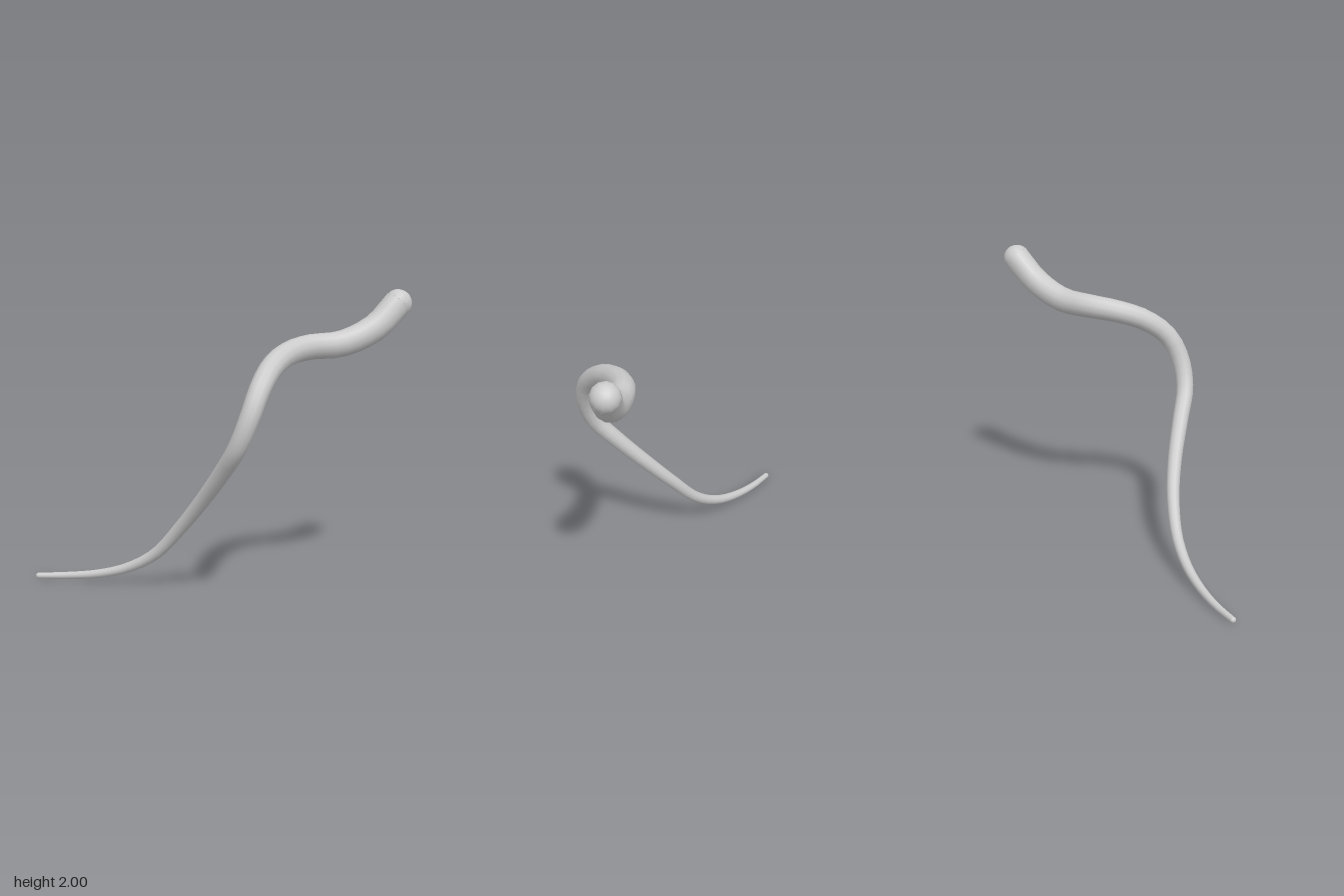
import * as THREE from 'three';

const SEGMENTS = 48, SIDES = 12;
const HEAD_RADIUS = 0.097, TIP_RADIUS = 0.021;

export function createModel() {
  const group = new THREE.Group();
  group.name = 'tentacle';
  const material = new THREE.MeshStandardMaterial({ color: 0xcccccc });

  // Centre line from the thick end to the thin tip
  const path = new THREE.CatmullRomCurve3([
    [0.75, 1.903, 0.882], [0.6, 1.75, 0.81], [0.4, 1.65, 0.69], [0.2, 1.635, 0.58],
    [0, 1.605, 0.56], [-0.2, 1.535, 0.59], [-0.36, 1.41, 0.625], [-0.45, 1.24, 0.62],
    [-0.485, 1.05, 0.55], [-0.46, 0.87, 0.4], [-0.43, 0.655, 0.2], [-0.425, 0.445, 0],
    [-0.46, 0.24, -0.2], [-0.53, 0.122, -0.4], [-0.62, 0.062, -0.6],
    [-0.725, 0.035, -0.8], [-0.832, 0.025, -0.965],
  ].map((p) => new THREE.Vector3(...p)));

  // Tapered body: each ring of a unit tube is drawn in to its own radius
  const tube = new THREE.TubeGeometry(path, SEGMENTS, 1, SIDES, false);
  const pos = tube.attributes.position;
  const v = new THREE.Vector3();
  for (let i = 0; i <= SEGMENTS; i++) {
    const u = i / SEGMENTS;
    const centre = path.getPointAt(u);
    const radius = THREE.MathUtils.lerp(HEAD_RADIUS, TIP_RADIUS, u);
    for (let j = 0; j <= SIDES; j++) {
      const k = i * (SIDES + 1) + j;
      v.fromBufferAttribute(pos, k).sub(centre).multiplyScalar(radius).add(centre);
      pos.setXYZ(k, v.x, v.y, v.z);
    }
  }
  const body = new THREE.Mesh(tube, material);
  body.name = 'body';
  group.add(body);

  // Rounded caps facing outward along the path at both ends
  const addCap = (name, u, radius, sign) => {
    const geometry = new THREE.SphereGeometry(radius, SIDES, 5, 0, Math.PI * 2, 0, Math.PI / 2);
    const cap = new THREE.Mesh(geometry, material);
    cap.name = name;
    cap.position.copy(path.getPointAt(u));
    cap.quaternion.setFromUnitVectors(
      new THREE.Vector3(0, 1, 0), path.getTangentAt(u).multiplyScalar(sign));
    group.add(cap);
  };
  addCap('thickEnd', 0, HEAD_RADIUS, -1);
  addCap('thinTip', 1, TIP_RADIUS, 1);

  return group;
}
